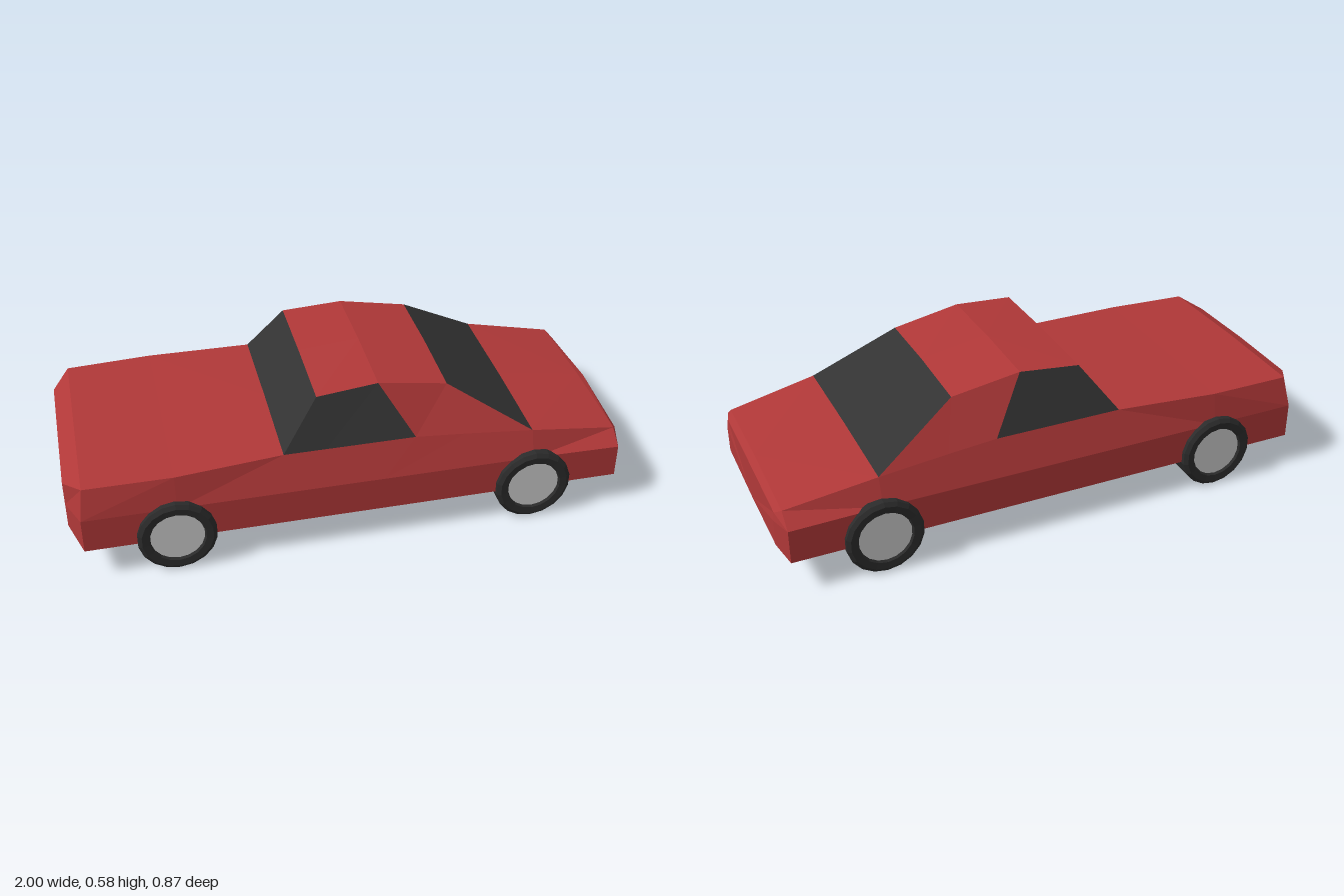
import * as THREE from 'three';

const paint = new THREE.MeshStandardMaterial({ color: 0xb03838, flatShading: true });
const glass = new THREE.MeshStandardMaterial({ color: 0x333333, flatShading: true });
const rubber = new THREE.MeshStandardMaterial({ color: 0x2b2b2b, flatShading: true });
const metal = new THREE.MeshStandardMaterial({ color: 0xcccccc, flatShading: true });

// Half section: floor centre, sill, belt, shoulder, roof edge, top centre
function section(x, sill, belt, shoulder, roof, topY, floorY = 0.12, topX = x) {
  return [[x, floorY, 0], [x, ...sill], [x, ...belt], shoulder, roof || shoulder, [topX, topY, 0]];
}
const SILL = [0.12, 0.41], BELT = [0.25, 0.41];

// Stations from nose (-x) to tail (+x)
const stations = [
  section(-1, [0.145, 0.29], [0.24, 0.29], [-1, 0.33, 0.29], null, 0.335, 0.14),
  section(-0.955, SILL, BELT, [-0.94, 0.36, 0.38], null, 0.366, 0.12, -0.94),
  section(-0.63, SILL, BELT, [-0.63, 0.367, 0.39], null, 0.373),
  section(-0.25, SILL, BELT, [-0.25, 0.38, 0.365], null, 0.386),
  section(-0.12, SILL, BELT, [-0.1, 0.38, 0.365], [-0.12, 0.555, 0.297], 0.56),
  section(0.1, SILL, BELT, [0.22, 0.38, 0.365], [0.1, 0.573, 0.287], 0.58),
  section(0.35, SILL, BELT, [0.4, 0.367, 0.368], [0.35, 0.53, 0.28], 0.537),
  section(0.65, SILL, BELT, [0.65, 0.347, 0.375], null, 0.352),
  section(0.975, SILL, [0.245, 0.41], [0.975, 0.29, 0.35], null, 0.3),
  section(1, [0.14, 0.32], [0.24, 0.32], [0.995, 0.27, 0.32], null, 0.29, 0.133),
];

// Collects triangles on both sides of the car
function panelSet() {
  const data = [];
  const same = (p, q) => p.every((v, i) => v === q[i]);
  const tri = (a, b, c) => {
    if (same(a, b) || same(b, c) || same(a, c)) return;
    for (const p of [a, b, c]) data.push(...p);
    for (const p of [a, c, b]) data.push(p[0], p[1], -p[2]);
  };
  return {
    tri,
    quad(a, b, c, d) { tri(a, b, c); tri(a, c, d); },
    mesh(name, material) {
      const g = new THREE.BufferGeometry();
      g.setAttribute('position', new THREE.Float32BufferAttribute(data, 3));
      g.computeVertexNormals();
      const m = new THREE.Mesh(g, material);
      m.name = name;
      return m;
    },
  };
}

function buildBody() {
  const shell = panelSet(), windshield = panelSet(), rearWindow = panelSet(), sideWindows = panelSet();
  for (let i = 0; i < stations.length - 1; i++) {
    const s = stations[i], t = stations[i + 1];
    for (let j = 0; j < 5; j++) {
      let set = shell;
      if (j === 3 && (i === 3 || i === 4)) set = sideWindows;
      if (j === 4 && i === 3) set = windshield;
      if (j === 4 && i === 6) set = rearWindow;
      set.quad(s[j], t[j], t[j + 1], s[j + 1]);
    }
  }
  // Nose and tail faces
  const nose = stations[0], tail = stations[stations.length - 1];
  for (let j = 1; j < 5; j++) {
    shell.tri(nose[0], nose[j], nose[j + 1]);
    shell.tri(tail[0], tail[j + 1], tail[j]);
  }
  const body = new THREE.Group();
  body.name = 'body';
  body.add(shell.mesh('bodyShell', paint), windshield.mesh('windshield', glass),
    rearWindow.mesh('rearWindow', glass), sideWindows.mesh('sideWindows', glass));
  return body;
}

function buildWheel(name) {
  const wheel = new THREE.Group();
  wheel.name = name;
  // Tyre ring with chamfered shoulders, axis turned to z
  const profile = [[0.095, -0.06], [0.1, -0.068], [0.125, -0.07], [0.139, -0.06], [0.139, 0.06],
    [0.125, 0.07], [0.1, 0.068], [0.095, 0.06], [0.095, -0.06]].map(p => new THREE.Vector2(...p));
  const tyre = new THREE.Mesh(new THREE.LatheGeometry(profile, 18).rotateX(Math.PI / 2), rubber);
  tyre.name = 'tyre';
  const hub = new THREE.Mesh(new THREE.CylinderGeometry(0.096, 0.096, 0.118, 18).rotateX(Math.PI / 2), metal);
  hub.name = 'hub';
  wheel.add(tyre, hub);
  return wheel;
}

export function createModel() {
  const car = new THREE.Group();
  car.name = 'car';
  car.add(buildBody());
  for (const [end, x] of [['front', -0.637], ['rear', 0.653]]) {
    for (const side of [1, -1]) {
      const wheel = buildWheel(`${end}Wheel${side > 0 ? 'Near' : 'Far'}`);
      wheel.position.set(x, 0.139, side * 0.365);
      car.add(wheel);
    }
  }
  return car;
}
